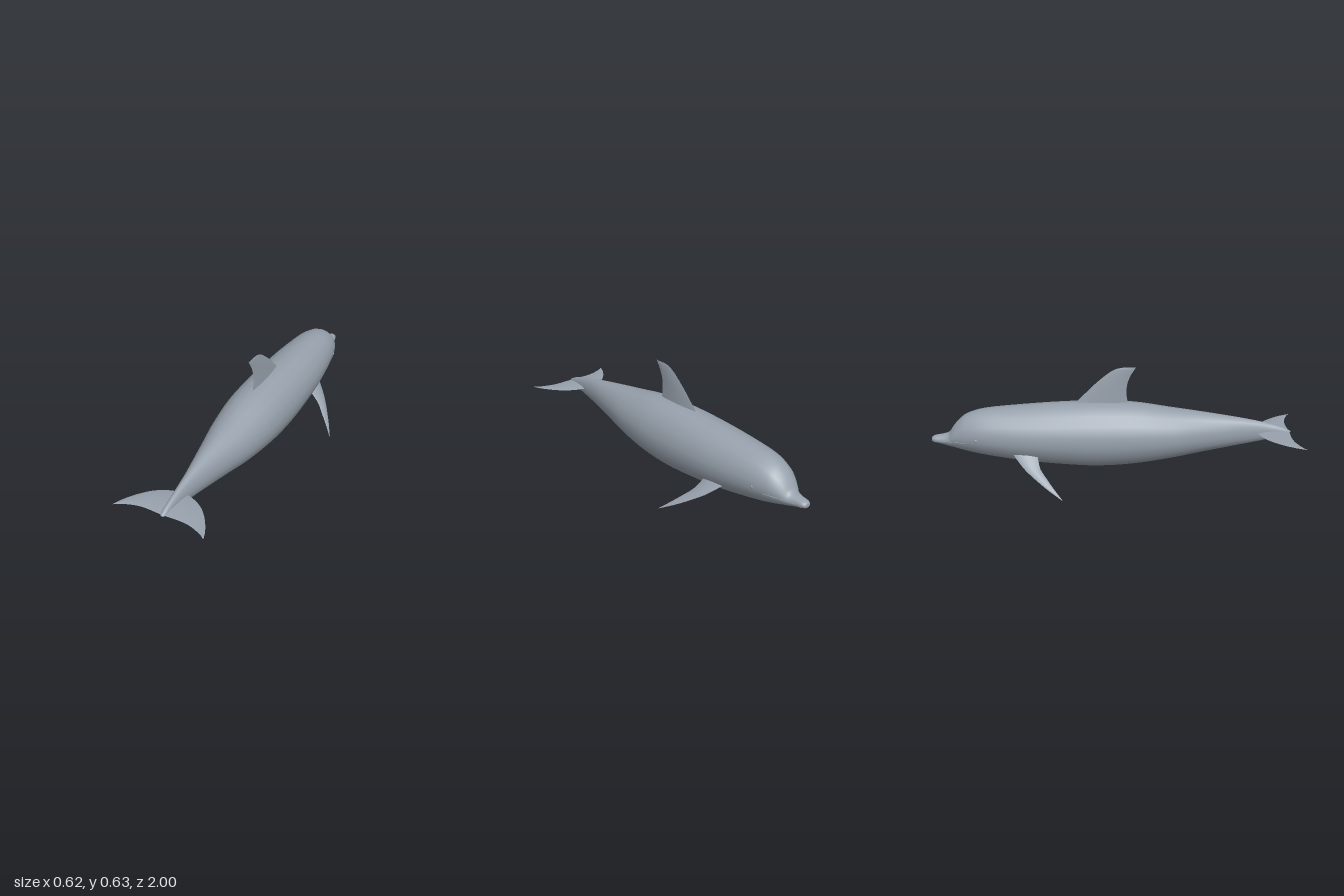
import * as THREE from 'three';
import { toCreasedNormals } from 'three/addons/utils/BufferGeometryUtils.js';

const skin = new THREE.MeshStandardMaterial({ color: 0x97a1ac });
skin.name = 'grey skin';

// Smooth curve through rows of numbers, n steps between each pair
function smooth(rows, n) {
  const out = [];
  const at = (i) => rows[Math.max(0, Math.min(rows.length - 1, i))];
  for (let i = 0; i < rows.length - 1; i++) {
    for (let k = 0; k < n; k++) {
      const t = k / n;
      out.push(rows[i].map((b, c) => {
        const a = at(i - 1)[c], d = at(i + 1)[c], e = at(i + 2)[c];
        return b + 0.5 * t * (d - a + t * (2 * a - 5 * b + 4 * d - e + t * (3 * (b - d) + e - a)));
      }));
    }
  }
  out.push(rows[rows.length - 1]);
  return out;
}

// Skin a list of closed rings of Vector3, turned so the faces point outward
function loft(rings) {
  const n = rings[0].length;
  const pts = rings.flat();
  const index = [];
  for (let i = 0; i < rings.length - 1; i++) {
    for (let j = 0; j < n; j++) {
      const a = i * n + j, b = i * n + (j + 1) % n;
      index.push(a, a + n, b, b, a + n, b + n);
    }
  }
  let volume = 0;
  const rel = (i) => pts[i].clone().sub(pts[0]);
  for (let i = 0; i < index.length; i += 3) {
    volume += rel(index[i]).dot(rel(index[i + 1]).cross(rel(index[i + 2])));
  }
  if (volume < 0) index.reverse();
  const geometry = new THREE.BufferGeometry().setFromPoints(pts);
  geometry.setIndex(index);
  geometry.computeVertexNormals();
  return geometry;
}

// Tapering fin with a lens section; rows are [span, leading edge, trailing edge]
function finGeometry(rows, thickness, place) {
  const stations = smooth(rows, 4);
  const rings = stations.map(([s, lead, trail], i) => {
    const half = thickness * (1 - i / (stations.length - 1)) + 0.0003;
    return Array.from({ length: 12 }, (_, j) => {
      const a = (j / 12) * Math.PI * 2;
      const z = (lead + trail) / 2 - ((trail - lead) / 2) * Math.cos(a);
      return place(s, z, half * Math.sin(a) * Math.abs(Math.sin(a)));
    });
  });
  return toCreasedNormals(loft(rings), 0.9);
}

// Body stations: z, top, bottom, half width
const BODY = smooth([
  [-1, 0.226, 0.224, 0.001], [-0.998, 0.236, 0.212, 0.018], [-0.98, 0.245, 0.205, 0.029],
  [-0.94, 0.252, 0.195, 0.036], [-0.905, 0.263, 0.185, 0.048], [-0.88, 0.298, 0.179, 0.064],
  [-0.85, 0.333, 0.171, 0.081], [-0.8, 0.37, 0.158, 0.101], [-0.7, 0.397, 0.137, 0.126],
  [-0.5, 0.415, 0.105, 0.151], [-0.3, 0.428, 0.084, 0.162], [-0.1, 0.434, 0.072, 0.1645],
  [0.1, 0.426, 0.083, 0.157], [0.3, 0.396, 0.112, 0.13], [0.45, 0.375, 0.14, 0.096],
  [0.6, 0.352, 0.167, 0.063], [0.7, 0.335, 0.185, 0.042], [0.8, 0.314, 0.204, 0.027],
  [0.9, 0.286, 0.228, 0.019], [0.95, 0.264, 0.246, 0.012], [0.96, 0.256, 0.254, 0.001],
], 4);

// Point on the flank at a given z and height
function flank(z, y, side) {
  const i = Math.max(1, BODY.findIndex((r) => r[0] >= z));
  const t = (z - BODY[i - 1][0]) / (BODY[i][0] - BODY[i - 1][0]);
  const [, top, low, w] = BODY[i].map((v, c) => THREE.MathUtils.lerp(BODY[i - 1][c], v, t));
  const k = (y - (top + low) / 2) / ((top - low) / 2);
  return new THREE.Vector3(side * w * Math.sqrt(Math.max(0, 1 - k * k)), y, z);
}

export function createModel() {
  const model = new THREE.Group();
  model.name = 'dolphin';
  const add = (name, geometry) => {
    const mesh = new THREE.Mesh(geometry, skin);
    mesh.name = name;
    model.add(mesh);
    return mesh;
  };

  // Body with forehead and beak
  add('body', loft(BODY.map(([z, top, low, w]) => Array.from({ length: 18 }, (_, j) => {
    const a = (j / 18) * Math.PI * 2;
    return new THREE.Vector3(w * Math.sin(a), (top + low) / 2 + ((top - low) / 2) * Math.cos(a), z);
  }))));

  // Swept back fin
  add('dorsalFin', finGeometry([
    [0.4, -0.26, 0.06], [0.43, -0.215, 0.066], [0.48, -0.165, 0.06], [0.53, -0.115, 0.063],
    [0.57, -0.07, 0.076], [0.6, -0.032, 0.092], [0.62, 0.005, 0.105], [0.628, 0.045, 0.11],
  ], 0.012, (s, z, t) => new THREE.Vector3(t, s, z)));

  for (const side of [1, -1]) {
    const label = side > 0 ? 'left' : 'right';

    // Flipper slanting down and out
    add(label + 'Flipper', finGeometry([
      [-0.03, -0.55, -0.42], [0, -0.53, -0.415], [0.06, -0.485, -0.4],
      [0.12, -0.425, -0.362], [0.18, -0.357, -0.322], [0.236, -0.284, -0.28],
    ], 0.013, (s, z, t) => new THREE.Vector3(
      side * (0.136 + 0.745 * s + 0.667 * t), 0.16 - 0.667 * s + 0.745 * t, z)));

    // Tail fluke
    add(label + 'Fluke', finGeometry([
      [0, 0.77, 0.952], [0.04, 0.778, 0.95], [0.09, 0.797, 0.948], [0.14, 0.83, 0.952],
      [0.19, 0.885, 0.967], [0.23, 0.948, 0.985], [0.25, 0.995, 1],
    ], 0.009, (s, z, t) => new THREE.Vector3(side * s, 0.256 + t, z)));

    // Eye
    const eye = add(label + 'Eye', new THREE.SphereGeometry(0.008, 12, 8));
    eye.position.copy(flank(-0.745, 0.256, side));
    eye.scale.x = 0.5;

    // Lip line along the beak
    const lip = [[-0.985, 0.217], [-0.94, 0.221], [-0.9, 0.225], [-0.86, 0.231], [-0.8, 0.235]]
      .map(([z, y]) => flank(z, y, side));
    add(label + 'Lip', new THREE.TubeGeometry(new THREE.CatmullRomCurve3(lip), 24, 0.002, 5));
  }
  return model;
}
